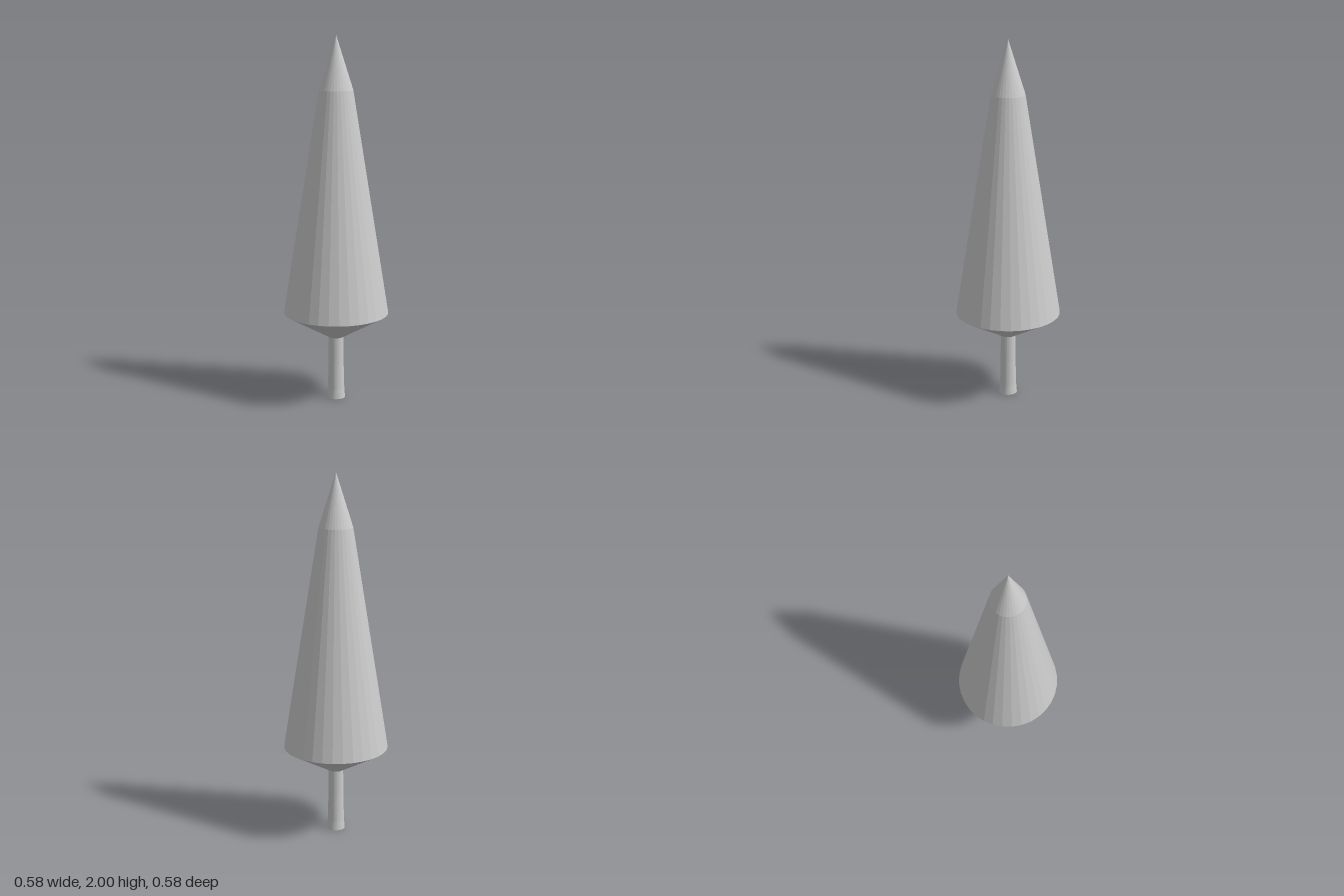
import * as THREE from 'three';

const SIDES = 32;

// Faceted solid of revolution from [radius, height] pairs, listed bottom to top
function turned(name, profile, material) {
  const points = profile.map(([r, y]) => new THREE.Vector2(r, y));
  const mesh = new THREE.Mesh(new THREE.LatheGeometry(points, SIDES), material);
  mesh.name = name;
  return mesh;
}

export function createModel() {
  const tree = new THREE.Group();
  tree.name = 'coniferTree';
  const material = new THREE.MeshStandardMaterial({ color: 0xcccccc, flatShading: true });

  // Slim trunk with a slight flare at the foot
  tree.add(turned('trunk', [[0, 0], [0.05, 0], [0.046, 0.05], [0.042, 0.2], [0.041, 0.36], [0, 0.36]], material));

  // Foliage: sloped underside, long taper, pointed tip
  tree.add(turned('foliage', [[0, 0.35], [0.041, 0.35], [0.288, 0.49], [0.092, 1.71], [0, 2]], material));

  return tree;
}
